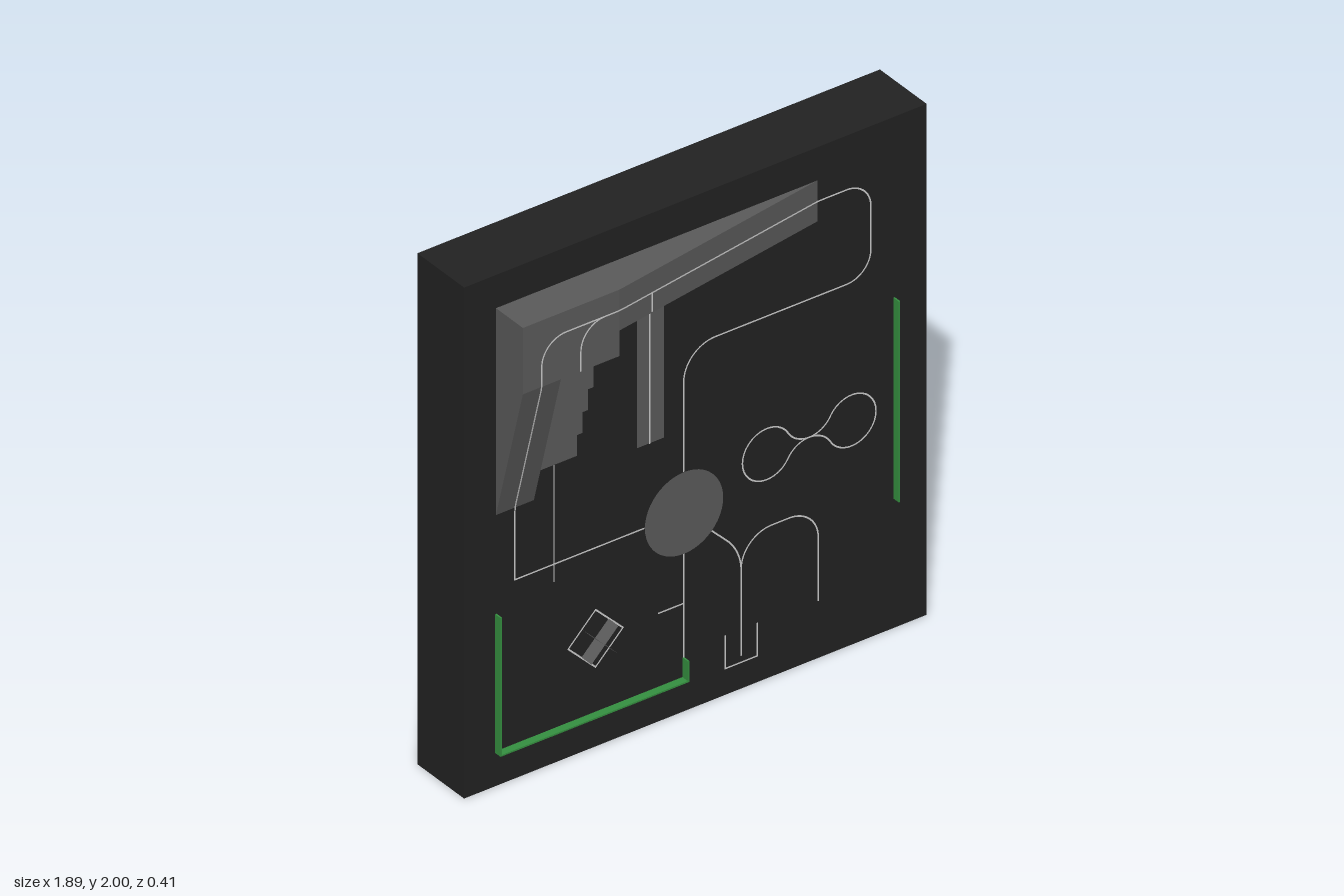
import * as THREE from 'three';

const FRONT = 0.055;   // front face of the board
const HIGH = 0.205;    // raised deck level
const TAU = Math.PI * 2;
const rad = THREE.MathUtils.degToRad;

const paint = (color) => new THREE.MeshStandardMaterial({ color, side: THREE.DoubleSide });
const black = paint(0x222222), grey = paint(0x5a5a5a), green = paint(0x359040), white = paint(0xcccccc);

// Height of the playing surface under the track lines
function surfaceZ(x, y) {
  if (x > -0.815 && x < 0.5 && y > 1.71 && y < 1.87) return x < -0.42 ? HIGH : HIGH - (HIGH - FRONT) * (x + 0.42) / 0.92;
  if (x > -0.815 && x < -0.42 && y >= 1.61 && y < 1.87) return HIGH;
  if (x > -0.815 && x < -0.66 && y > 1.06 && y < 1.61) return FRONT + (HIGH - FRONT) * (y - 1.06) / 0.55;
  return FRONT;
}

// Flat ribbon following a 2D path, draped over the surface
function ribbon(path, closed = false, zAt = surfaceZ, width = 0.006) {
  const raw = path.getPoints(14).filter((p, i, a) => i === 0 || p.distanceTo(a[i - 1]) > 1e-5);
  const pts = [raw[0]];
  for (let i = 1; i < raw.length; i++) {
    const n = Math.ceil(raw[i].distanceTo(raw[i - 1]) / 0.03);
    for (let k = 1; k <= n; k++) pts.push(raw[i - 1].clone().lerp(raw[i], k / n));
  }
  const pos = [], idx = [], last = pts.length - 1;
  pts.forEach((p, i) => {
    const before = i > 0 ? pts[i - 1] : closed ? pts[last - 1] : null;
    const after = i < last ? pts[i + 1] : closed ? pts[1] : null;
    const a = before ? p.clone().sub(before).normalize() : after.clone().sub(p).normalize();
    const b = after ? after.clone().sub(p).normalize() : a;
    const t = a.clone().add(b).normalize();
    const w = width / 2 / Math.max(0.5, t.dot(a));
    const z = zAt(p.x, p.y) + 0.003;
    pos.push(p.x - t.y * w, p.y + t.x * w, z, p.x + t.y * w, p.y - t.x * w, z);
    if (i < last) idx.push(2 * i, 2 * i + 1, 2 * i + 2, 2 * i + 1, 2 * i + 3, 2 * i + 2);
  });
  const g = new THREE.BufferGeometry();
  g.setAttribute('position', new THREE.Float32BufferAttribute(pos, 3));
  g.setIndex(idx);
  g.computeVertexNormals();
  return g;
}

const polyline = (...pts) => new THREE.Path(pts.map(([x, y]) => new THREE.Vector2(x, y)));

export function createModel() {
  const model = new THREE.Group();
  const add = (name, geometry, material) => {
    const m = new THREE.Mesh(geometry, material);
    m.name = name;
    model.add(m);
    return m;
  };
  const block = (name, x0, x1, y0, y1, z0, z1, material) => add(name,
    new THREE.BoxGeometry(x1 - x0, y1 - y0, z1 - z0).translate((x0 + x1) / 2, (y0 + y1) / 2, (z0 + z1) / 2), material);
  const line = (name, path, closed, zAt) => add(name, ribbon(path, closed, zAt), white);

  block('board', -0.945, 0.945, 0, 2, -0.205, FRONT, black);

  // Raised deck with the long ramp down to the right
  const beam = new THREE.Shape([[-0.815, FRONT], [0.5, FRONT], [-0.42, HIGH], [-0.815, HIGH]].map(p => new THREE.Vector2(...p)));
  add('longRamp', new THREE.ExtrudeGeometry(beam, { depth: 0.16, bevelEnabled: false })
    .rotateX(Math.PI / 2).translate(0, 1.87, 0), grey);
  block('cornerDeck', -0.815, -0.42, 1.61, 1.71, FRONT, HIGH, grey);

  // Side ramp
  const wedge = new THREE.Shape([[FRONT, 1.06], [HIGH, 1.61], [FRONT, 1.61]].map(p => new THREE.Vector2(...p)));
  add('sideRamp', new THREE.ExtrudeGeometry(wedge, { depth: 0.155, bevelEnabled: false })
    .rotateY(-Math.PI / 2).translate(-0.66, 0, 0), grey);

  // Stairs
  for (let i = 0; i < 4; i++) {
    const top = 1.61 - i * 0.105;
    block('step', -0.66, -0.505, top - 0.105, top, FRONT, 0.175 - i * 0.03, grey);
  }

  // Thin bridge panel floating above the board
  add('bridgePanel', new THREE.PlaneGeometry(0.11, 0.525).translate(-0.265, 1.4525, 0.165), grey);

  // Round pad
  add('roundPad', new THREE.CircleGeometry(0.16, 48).translate(-0.05, 0.78, FRONT + 0.005), grey);

  // Crossed upright plates inside the diamond
  for (const angle of [45, -45]) {
    add('crossPlate', new THREE.PlaneGeometry(0.156, 0.055).rotateX(Math.PI / 2)
      .rotateZ(rad(angle)).translate(-0.41, 0.425, FRONT + 0.0275), grey);
  }

  // Low green walls
  const wall = (x0, x1, y0, y1) => block('greenWall', x0 - 0.003, x1 + 0.003, y0 - 0.003, y1 + 0.003, FRONT, 0.085, green);
  wall(-0.815, -0.815, 0.133, 0.67);
  wall(-0.815, -0.05, 0.133, 0.133);
  wall(-0.05, -0.05, 0.133, 0.21);
  wall(0.812, 0.812, 0.51, 1.29);

  // Main track loop
  const main = new THREE.Path().moveTo(-0.21, 0.78).lineTo(-0.74, 0.78).lineTo(-0.74, 1.69);
  main.absarc(-0.64, 1.69, 0.1, Math.PI, Math.PI / 2, true);
  main.absarc(0.615, 1.69, 0.1, Math.PI / 2, 0, true);
  main.absarc(0.615, 1.52, 0.1, 0, -Math.PI / 2, true);
  main.absarc(0.08, 1.29, 0.13, Math.PI / 2, Math.PI, false);
  main.lineTo(-0.05, 0.94);
  line('mainTrack', main);

  // Track over the stairs
  const upper = new THREE.Path().moveTo(-0.58, 1.612).lineTo(-0.58, 1.69);
  upper.absarc(-0.48, 1.69, 0.1, Math.PI, Math.PI / 2, true);
  line('stairTrackTop', upper);
  line('stairTrackBottom', polyline([-0.58, 1.19], [-0.58, 0.71]));

  // Track on the bridge panel
  line('bridgeTrack', polyline([-0.27, 1.19], [-0.27, 1.715]), false, () => 0.165);
  line('bridgeTrackTop', polyline([-0.27, 1.715], [-0.27, 1.79]));

  // Tracks below the round pad
  line('lowerTrack', polyline([-0.05, 0.62], [-0.05, 0.21]));
  line('sideBranch', polyline([-0.155, 0.425], [-0.05, 0.425]));
  const curve = new THREE.Path().moveTo(0.06, 0.67).lineTo(0.13, 0.6);
  curve.quadraticCurveTo(0.185, 0.54, 0.185, 0.46);
  curve.lineTo(0.185, 0.13);
  line('goalTrack', curve);
  const arch = new THREE.Path().moveTo(0.185, 0.46);
  arch.absarc(0.31, 0.47, 0.125, Math.PI, Math.PI / 2, true);
  arch.absarc(0.38, 0.475, 0.12, Math.PI / 2, 0, true);
  arch.lineTo(0.5, 0.225);
  line('archTrack', arch);
  line('goalBox', polyline([0.12, 0.235], [0.12, 0.105], [0.25, 0.105], [0.25, 0.235]));

  // Diamond outline
  line('diamond', polyline([-0.41, 0.537], [-0.298, 0.425], [-0.41, 0.313], [-0.522, 0.425], [-0.41, 0.537]), true);

  // Figure-eight loop from four tangent arcs
  const eight = new THREE.Path();
  eight.absarc(0.29, 0.88, 0.1, rad(30), rad(330), false);
  eight.absarc(0.463, 0.78, 0.1, rad(150), rad(30), true);
  eight.absarc(0.636, 0.88, 0.1, rad(210), rad(150) + TAU, false);
  eight.absarc(0.463, 0.98, 0.1, rad(330), rad(210), true);
  line('figureEight', eight, true);

  return model;
}
